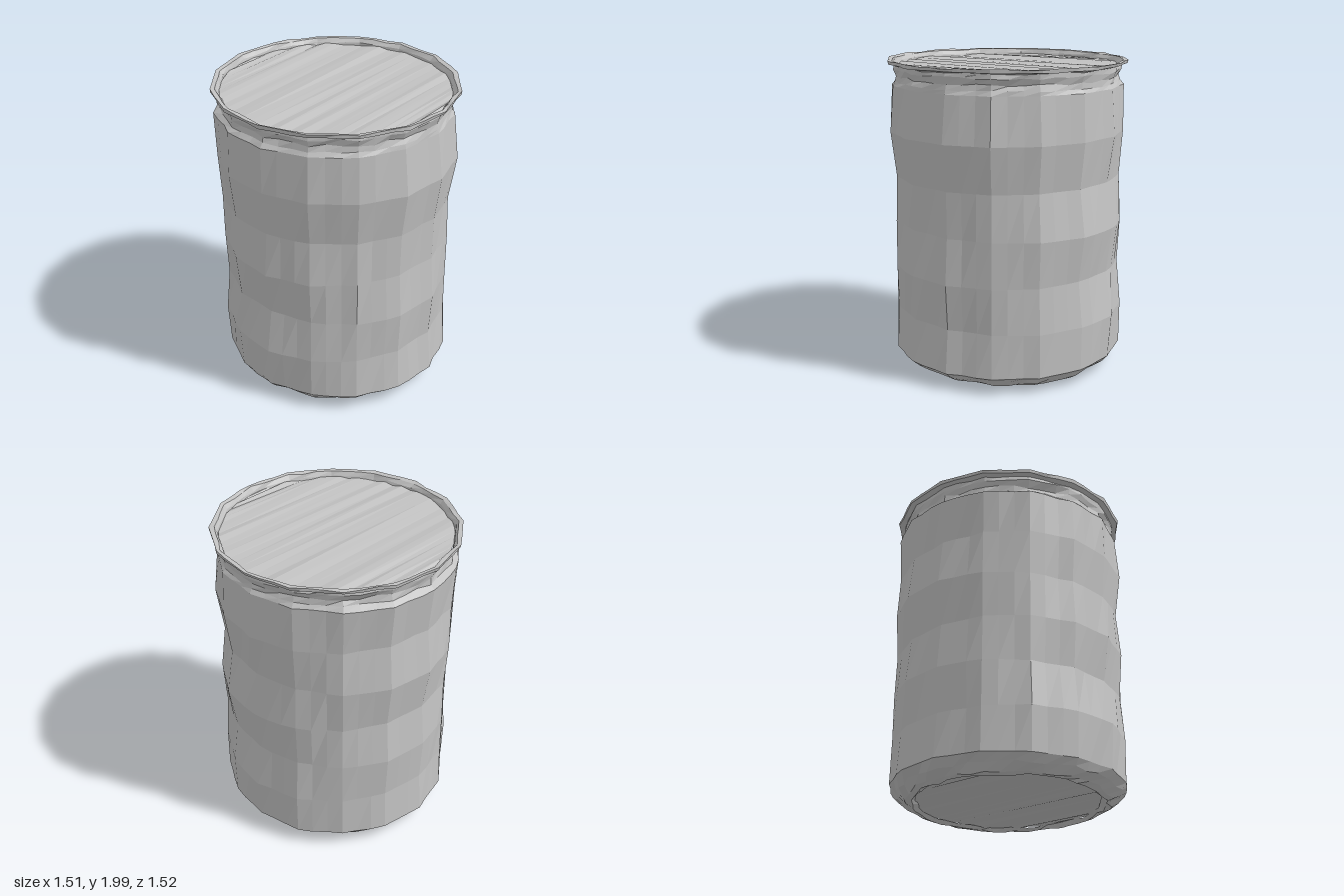
import * as THREE from 'three';

const SIDES = 16, SPLIT = 3, N = SIDES * SPLIT;

export function createModel() {
  const group = new THREE.Group();
  const metal = new THREE.MeshStandardMaterial({ color: 0xc2c2c2, flatShading: true });
  metal.name = 'weathered grey';

  // seeded jitter in -1..1
  let seed = 7;
  const jitter = () => {
    seed = (seed * 16807) % 2147483647;
    return (seed / 2147483647) * 2 - 1;
  };

  // sixteen-sided ring; the four radii are measured toward +x, -x, +z and -z
  function ring(y, [px, nx, pz, nz], rough = 0, roughY = 0) {
    const points = [];
    const step = (Math.PI * 2) / SIDES;
    for (let i = 0; i < N; i++) {
      const a = (i / N) * Math.PI * 2 - step / 2;
      const c = Math.cos(a), s = Math.sin(a);
      const local = ((i % SPLIT) / SPLIT) * step - step / 2;
      const radius = (c > 0 ? px : nx) * c * c + (s > 0 ? pz : nz) * s * s;
      const r = radius / Math.cos(local) + jitter() * rough;
      points.push([r * c, y + jitter() * roughY, r * s]);
    }
    return points;
  }

  function addMesh(name, positions) {
    const geometry = new THREE.BufferGeometry();
    geometry.setAttribute('position', new THREE.Float32BufferAttribute(positions.flat(), 3));
    geometry.computeVertexNormals();
    const mesh = new THREE.Mesh(geometry, metal);
    mesh.name = name;
    group.add(mesh);
    return mesh;
  }

  // skin between consecutive rings
  function loft(name, rings) {
    const p = [];
    for (let k = 0; k < rings.length - 1; k++) {
      for (let i = 0; i < N; i++) {
        const j = (i + 1) % N;
        const a = rings[k][i], b = rings[k + 1][i], c = rings[k][j], d = rings[k + 1][j];
        p.push(a, b, c, c, b, d);
      }
    }
    return addMesh(name, p);
  }

  // uneven disc made of long crosswise strips
  function disc(name, y, radius, facing, rough) {
    const count = 36, left = [], right = [], p = [];
    for (let k = 0; k <= count; k++) {
      const a = (k / count) * Math.PI;
      const x = Math.sin(a) * radius, z = -Math.cos(a) * radius;
      left.push([-x, y + jitter() * rough, z]);
      right.push([x, y + jitter() * rough, z]);
    }
    for (let k = 0; k < count; k++) {
      const a = left[k], b = left[k + 1], c = right[k], d = right[k + 1];
      if (facing > 0) p.push(a, b, c, c, b, d);
      else p.push(a, c, b, c, d, b);
    }
    addMesh(name, p).rotation.y = 0.12;
  }

  const even = r => [r, r, r, r];

  // dented wall
  const wall = [
    [0.11, [0.74, 0.72, 0.745, 0.735]],
    [0.39, [0.75, 0.74, 0.72, 0.715]],
    [0.68, [0.71, 0.70, 0.74, 0.735]],
    [0.97, [0.75, 0.735, 0.71, 0.70]],
    [1.26, [0.705, 0.715, 0.715, 0.745]],
    [1.55, [0.74, 0.745, 0.755, 0.71]],
    [1.84, [0.72, 0.735, 0.72, 0.745]],
  ].map(([y, radii]) => ring(y, radii, 0.007));
  loft('wall', wall);

  // chamfered foot
  loft('foot', [
    ring(0.035, even(0.57), 0.006, 0.008),
    ring(0.014, even(0.6), 0.008, 0.01),
    ring(0.025, even(0.635), 0.01, 0.01),
    ring(0.065, even(0.69), 0.01, 0.01),
    wall[0],
  ]);
  disc('base', 0.035, 0.59, -1, 0.008);

  // pinched neck
  const neckTop = ring(1.965, even(0.715), 0.006, 0.006);
  loft('neck', [
    wall[wall.length - 1],
    ring(1.865, even(0.71), 0.006, 0.006),
    ring(1.9, even(0.702), 0.008, 0.008),
    ring(1.94, even(0.718), 0.008, 0.008),
    neckTop,
  ]);

  // flared lip, folding over to the inside
  loft('lip', [
    neckTop,
    ring(1.973, even(0.752), 0.004, 0.004),
    ring(1.994, even(0.755), 0.002, 0.005),
    ring(1.99, even(0.728), 0.005, 0.004),
    ring(1.965, even(0.712), 0.006, 0.004),
    ring(1.935, even(0.705), 0.004),
  ]);
  disc('lid', 1.955, 0.715, 1, 0.008);

  return group;
}
